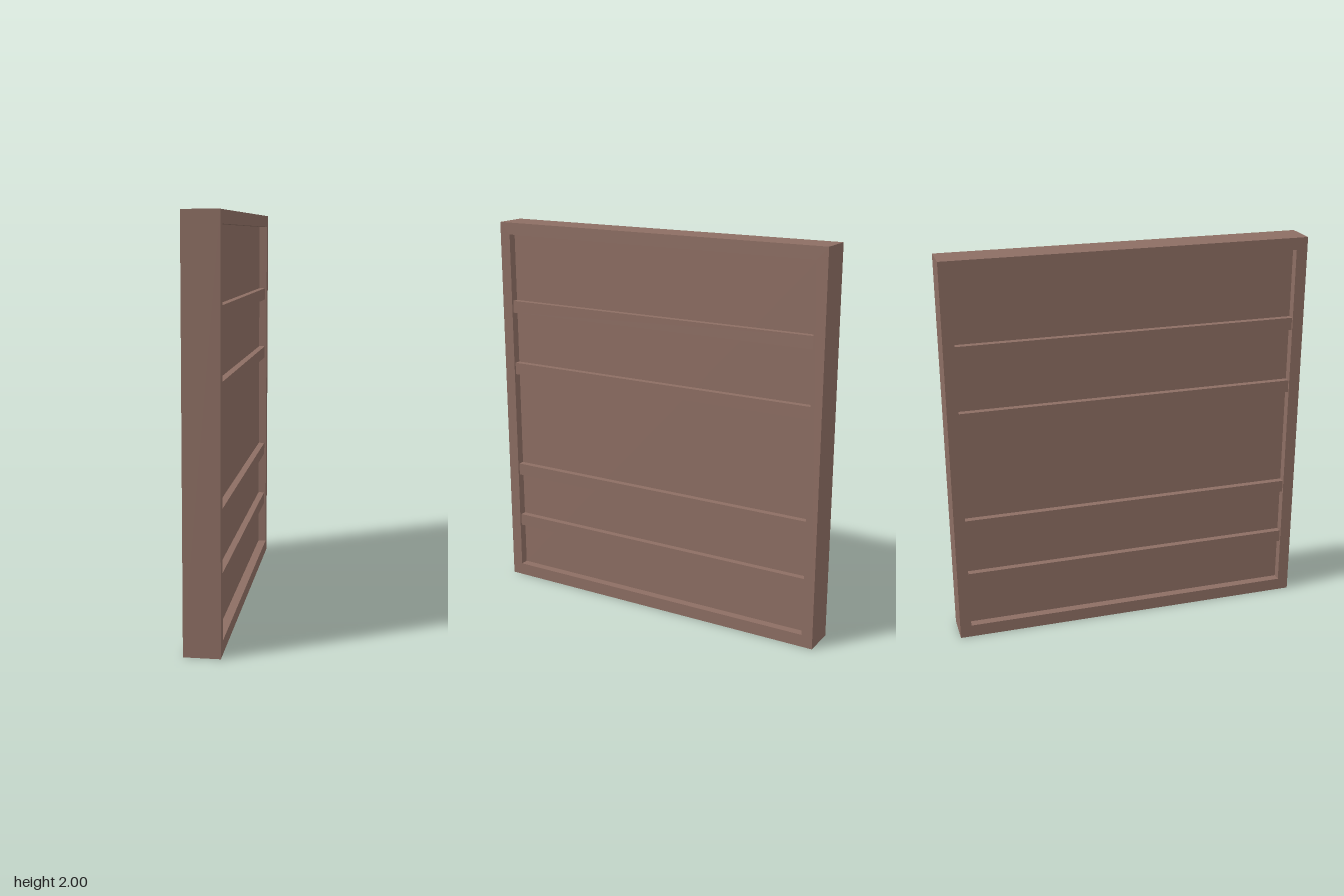
import * as THREE from 'three';

const HALF_DEPTH = 0.087, HALF_WIDTH = 0.925, HEIGHT = 2;
const INNER_HALF = 0.867, INNER_BOTTOM = 0.065, INNER_TOP = 1.938;
const PANEL_HALF = 0.044, RAIL_FACE = 0.077, RAIL_HEIGHT = 0.064;

export function createModel() {
  const wood = new THREE.MeshStandardMaterial({ color: 0x8d6e63 });
  wood.name = 'brown wood';
  const model = new THREE.Group();
  model.name = 'panelledDoor';

  const add = (name, geometry) => {
    const mesh = new THREE.Mesh(geometry, wood);
    mesh.name = name;
    model.add(mesh);
    return mesh;
  };
  const rectangle = (Type, half, bottom, top) => new Type([
    new THREE.Vector2(-half, bottom), new THREE.Vector2(half, bottom),
    new THREE.Vector2(half, top), new THREE.Vector2(-half, top),
  ]);

  // Outer frame, drawn flat and turned to face sideways
  const outline = rectangle(THREE.Shape, HALF_WIDTH, 0, HEIGHT);
  outline.holes.push(rectangle(THREE.Path, INNER_HALF, INNER_BOTTOM, INNER_TOP));
  const frame = new THREE.ExtrudeGeometry(outline, { depth: HALF_DEPTH * 2, bevelEnabled: false });
  frame.translate(0, 0, -HALF_DEPTH).rotateY(Math.PI / 2);
  add('frame', frame);

  // Recessed panel filling the frame
  const panel = add('panel', new THREE.BoxGeometry(PANEL_HALF * 2, INNER_TOP - INNER_BOTTOM, INNER_HALF * 2));
  panel.position.y = (INNER_TOP + INNER_BOTTOM) / 2;

  // Four cross rails on each side
  const railDepth = RAIL_FACE - PANEL_HALF;
  const railGeometry = new THREE.BoxGeometry(railDepth, RAIL_HEIGHT, INNER_HALF * 2);
  for (const side of [1, -1]) {
    for (const y of [0.332, 0.634, 1.212, 1.552]) {
      const rail = add(side > 0 ? 'leftRail' : 'rightRail', railGeometry);
      rail.position.set(side * (PANEL_HALF + railDepth / 2), y, 0);
    }
  }
  return model;
}
